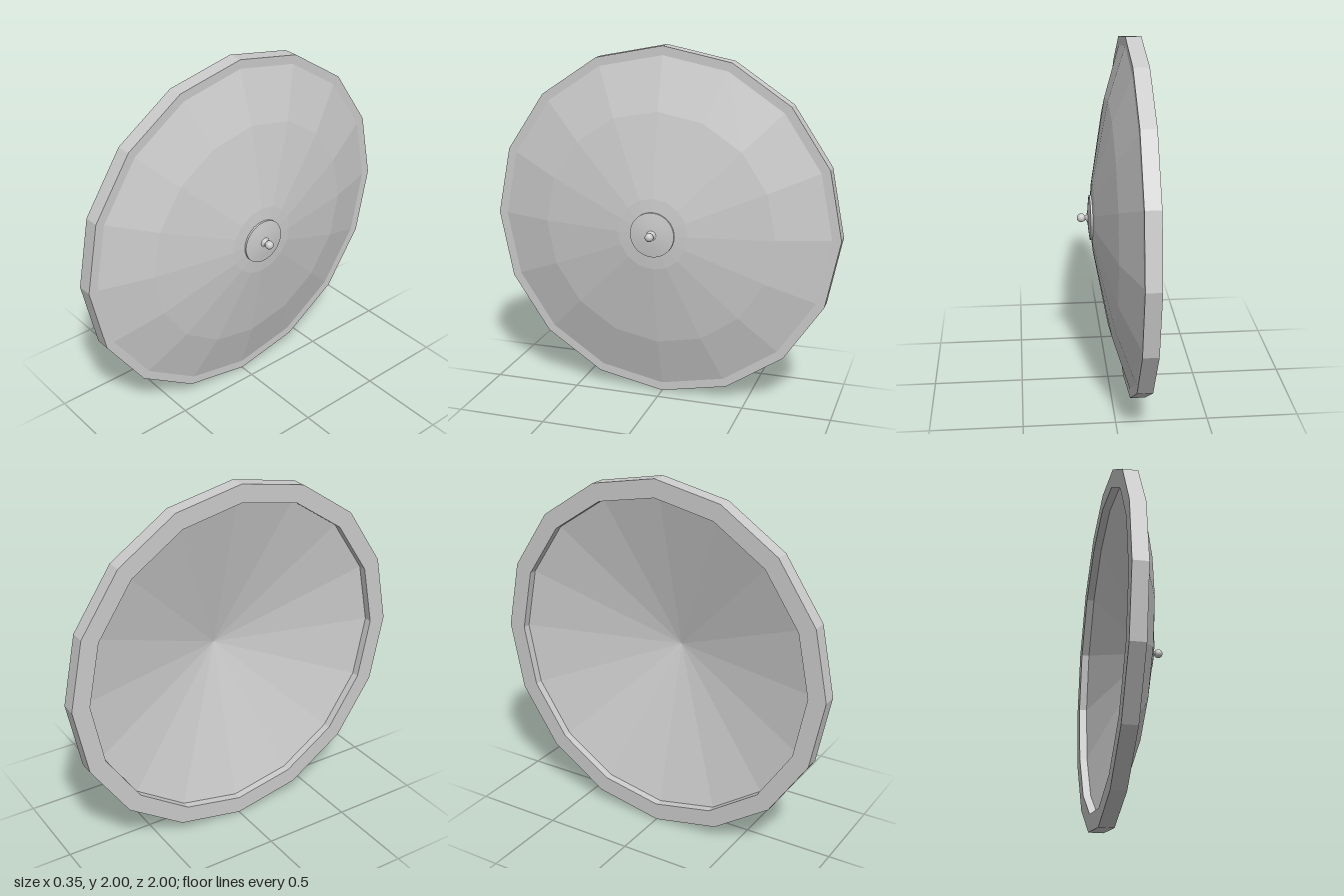
import * as THREE from 'three';

const grey = new THREE.MeshStandardMaterial({ color: 0xcccccc });
const greyFlat = new THREE.MeshStandardMaterial({ color: 0xcccccc, flatShading: true });

// Turned part from [radius, height] points, listed from the bottom outwards and up
function turned(name, points, segments, material) {
  const profile = points.map(([r, h]) => new THREE.Vector2(r, h));
  const mesh = new THREE.Mesh(new THREE.LatheGeometry(profile, segments), material);
  mesh.name = name;
  return mesh;
}

export function createModel() {
  const model = new THREE.Group();
  model.name = 'shield';

  // Sixteen-sided rim: flat back face, outer band, front lip and inner wall
  model.add(turned('rim', [
    [0.9, -0.13], [0.9, -0.174], [1, -0.174], [1, -0.09], [0.95, -0.09],
  ], 16, greyFlat));

  // Convex face in three shallow steps
  model.add(turned('face', [
    [0.95, -0.09], [0.66, 0], [0.2, 0.085], [0, 0.102],
  ], 16, greyFlat));

  // Hollow back, a single cone
  model.add(turned('hollow', [[0, 0.1], [0.9, -0.13]], 16, greyFlat));

  // Round boss plate: edge and slightly domed top
  model.add(turned('bossEdge', [[0.125, 0.088], [0.125, 0.102]], 48, grey));
  model.add(turned('bossTop', [
    [0.125, 0.102], [0.08, 0.108], [0.04, 0.112], [0, 0.113],
  ], 48, grey));

  // Flared neck carrying the ball
  model.add(turned('neck', [
    [0.028, 0.11], [0.026, 0.116], [0.013, 0.121], [0.012, 0.14],
  ], 24, grey));
  const ball = new THREE.Mesh(new THREE.SphereGeometry(0.024, 24, 16), grey);
  ball.name = 'ball';
  ball.position.y = 0.148;
  model.add(ball);

  // Stand the disc on its edge with the boss towards +x
  model.rotation.z = -Math.PI / 2;
  model.position.y = 1;
  const root = new THREE.Group();
  root.name = 'model';
  root.add(model);
  return root;
}
